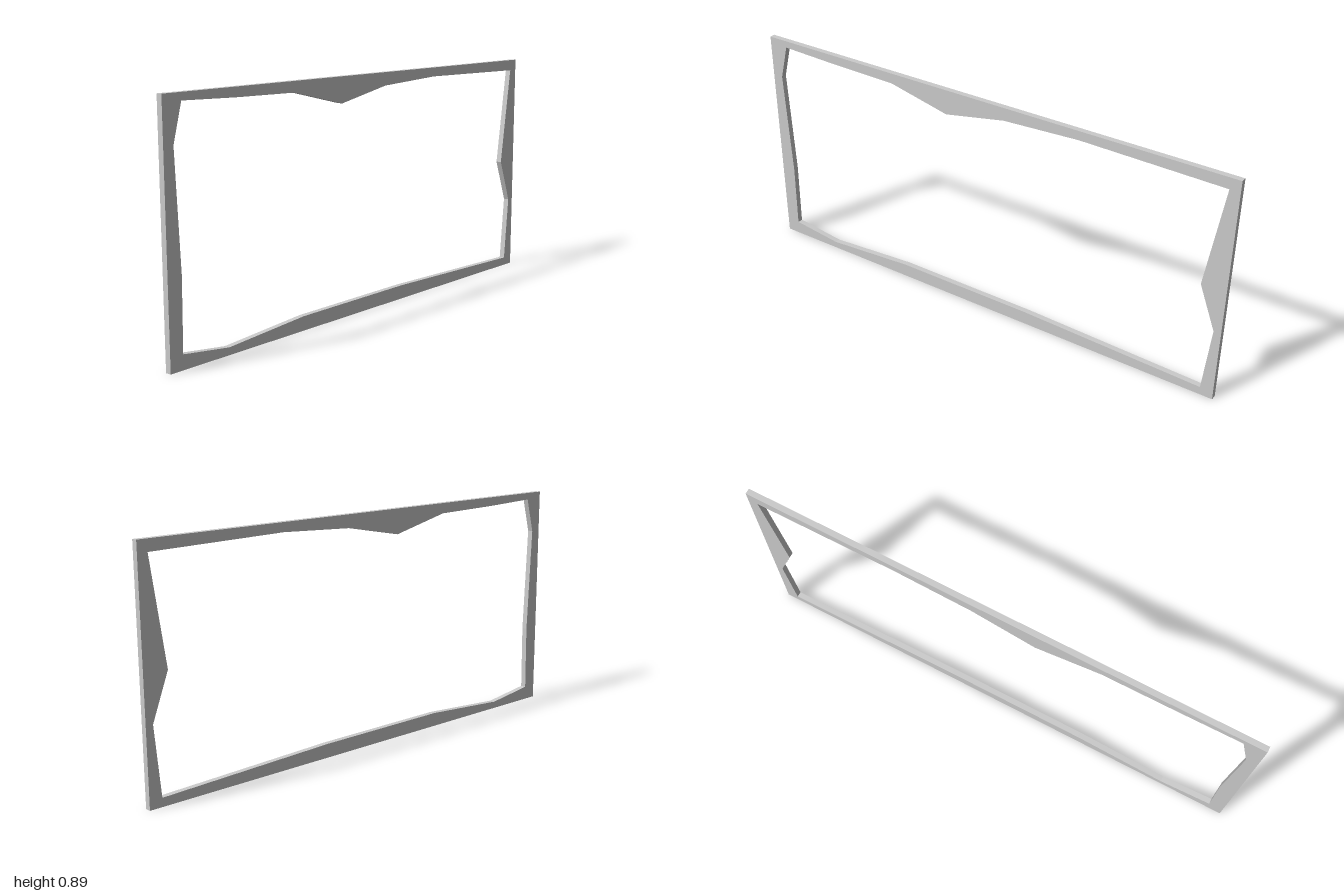
import * as THREE from 'three';

const THICKNESS = 0.022;

// Corner lists are [z, y] pairs in the plane of the frame
const toPoints = (pairs) => pairs.map(([z, y]) => new THREE.Vector2(z, y));

export function createModel() {
  const group = new THREE.Group();
  group.name = 'frame';

  // Outer edge, tapering very slightly toward the bottom
  const shape = new THREE.Shape(toPoints([
    [-0.99, 0], [-1, 0.89], [1, 0.89], [0.995, 0],
  ]));

  // Irregular opening: top, back, bottom and front edges
  shape.holes.push(new THREE.Path(toPoints([
    [0.92, 0.863], [0.68, 0.855], [0.4, 0.85], [0.15, 0.793], [-0.1, 0.84], [-0.405, 0.855],
    [-0.96, 0.847], [-0.9, 0.458], [-0.965, 0.287],
    [-0.94, 0.032], [-0.205, 0.053], [0.365, 0.053], [0.735, 0.027],
    [0.94, 0.053], [0.937, 0.31], [0.957, 0.727],
  ])));

  // Thin slab turned so its outline lies in the z-y plane
  const geometry = new THREE.ExtrudeGeometry(shape, { depth: THICKNESS, bevelEnabled: false });
  geometry.translate(0, 0, -THICKNESS / 2);
  geometry.rotateY(-Math.PI / 2);

  const border = new THREE.Mesh(
    geometry,
    new THREE.MeshStandardMaterial({ color: 0xcccccc, flatShading: true }),
  );
  border.name = 'jaggedBorder';
  group.add(border);
  return group;
}
